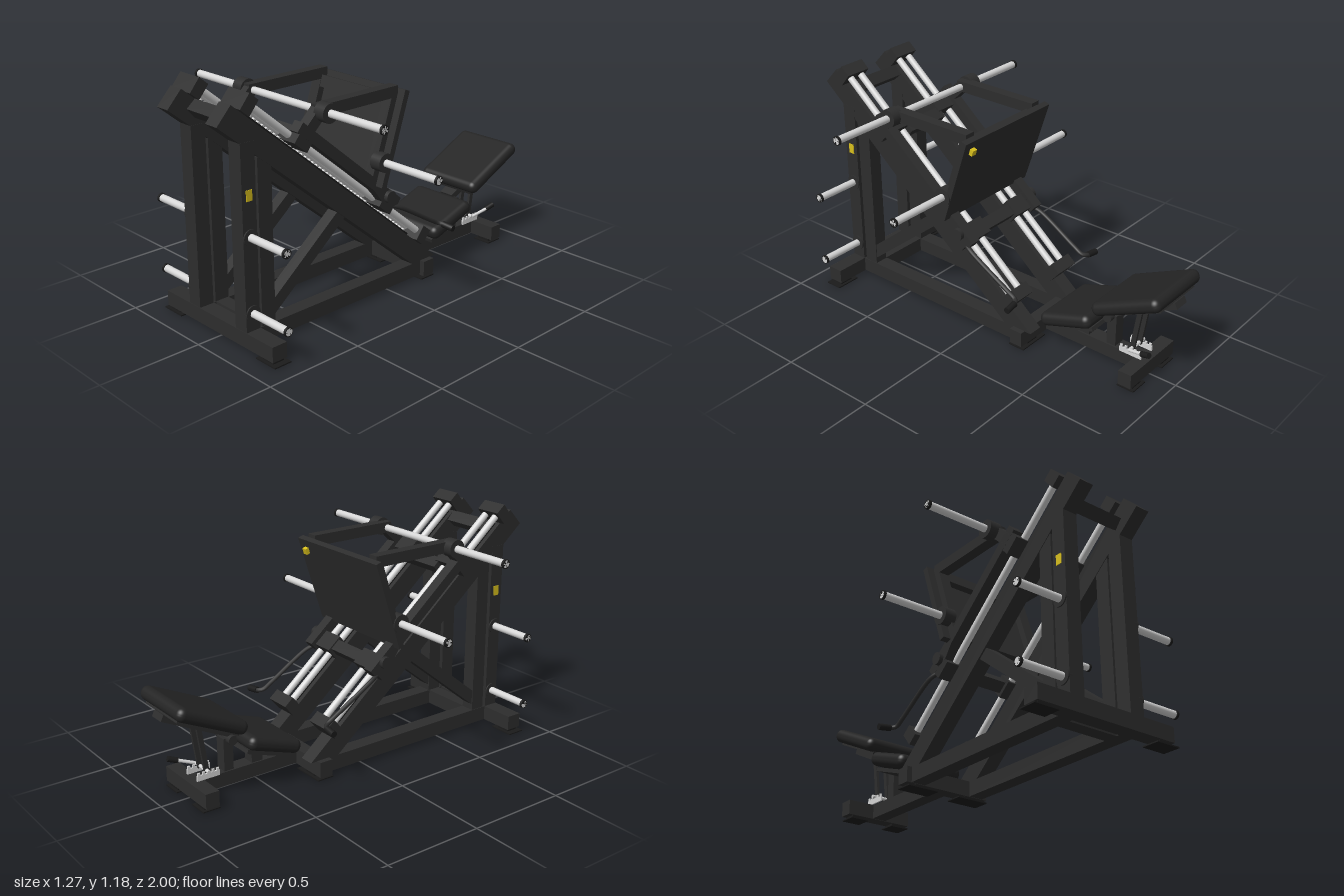
import * as THREE from 'three';
import { RoundedBoxGeometry } from 'three/addons/geometries/RoundedBoxGeometry.js';

const material = (name, color) => {
  const m = new THREE.MeshStandardMaterial({ color });
  m.name = name;
  return m;
};

export function createModel() {
  const frame = material('frame charcoal', 0x2d2d2d);
  const vinyl = material('pad black', 0x242424);
  const rubber = material('rubber black', 0x1b1b1b);
  const steel = material('polished steel', 0xd6d6d6);
  const yellow = material('label yellow', 0xd8bf1c);

  const model = new THREE.Group();
  model.name = 'legPress';

  const add = (name, geometry, mat, x = 0, y = 0, z = 0) => {
    const mesh = new THREE.Mesh(geometry, mat);
    mesh.name = name;
    mesh.position.set(x, y, z);
    model.add(mesh);
    return mesh;
  };
  const box = (name, mat, x, y, z, w, h, d) => add(name, new THREE.BoxGeometry(w, h, d), mat, x, y, z);

  // Bar between two [z, y] points, w wide in x and t thick
  const bar = (name, mat, x, a, b, w, t) => {
    const dz = b[0] - a[0], dy = b[1] - a[1];
    const mesh = box(name, mat, x, (a[1] + b[1]) / 2, (a[0] + b[0]) / 2, w, t, Math.hypot(dz, dy));
    mesh.rotation.x = Math.atan2(-dy, dz);
    return mesh;
  };
  const rod = (name, mat, a, b, r, sides = 20) => {
    const p = new THREE.Vector3(...a), q = new THREE.Vector3(...b);
    const mesh = add(name, new THREE.CylinderGeometry(r, r, p.distanceTo(q), sides), mat);
    mesh.position.copy(p).add(q).multiplyScalar(0.5);
    mesh.quaternion.setFromUnitVectors(new THREE.Vector3(0, 1, 0), q.sub(p).normalize());
    return mesh;
  };
  // [z, y] point at distance s down the inclined beam and h above its top face
  const slope = (s, h) => [0.925 - 0.767 * s - 0.642 * h, 1.133 - 0.642 * s + 0.767 * h];
  const bothSides = (build) => [-1, 1].forEach(build);

  // Base
  box('frontCrossbar', frame, 0, 0.057, 0.85, 0.77, 0.074, 0.08);
  box('secondCrossbar', frame, 0, 0.057, 0.76, 0.3, 0.074, 0.07);
  box('middleCrossbar', frame, 0, 0.057, -0.245, 0.47, 0.078, 0.07);
  box('rearCrossbar', frame, 0, 0.057, -0.835, 0.36, 0.074, 0.07);
  box('seatSpine', frame, 0, 0.057, -0.54, 0.075, 0.07, 0.6);
  box('topCrossbar', frame, 0, 1.035, 0.86, 0.28, 0.06, 0.06).rotation.x = 0.697;

  // Profile of the inclined beams, drawn with z across and y up
  const beamShape = new THREE.Shape([
    [0.925, 1.133], [1.0, 1.053], [-0.155, 0.094], [-0.315, 0.094],
  ].map(([z, y]) => new THREE.Vector2(-z, y)));
  const beamGeometry = new THREE.ExtrudeGeometry(beamShape, { depth: 0.076, bevelEnabled: false });
  beamGeometry.translate(0, 0, -0.038).rotateY(Math.PI / 2);

  bothSides((k) => {
    const x = k * 0.17;
    add('inclinedBeam', beamGeometry, frame, x);
    box('baseRail', frame, x, 0.057, 0.29, 0.076, 0.074, 1.08);
    box('frontPost', frame, x, 0.52, 0.85, 0.078, 0.88, 0.075);
    box('secondPost', frame, x, 0.45, 0.76, 0.07, 0.86, 0.075);
    bar('diagonalBrace', frame, x, [0.74, 0.15], [0.29, 0.51], 0.06, 0.06);
    box('warningLabel', yellow, k * 0.21, 0.725, 0.85, 0.004, 0.05, 0.032);

    // Feet
    [[0.34, 0.85, 0.13], [0.145, -0.245, 0.17], [0.12, -0.835, 0.1]].forEach(([fx, z, w]) => {
      box('footPlate', rubber, k * fx, 0.003, z, w, 0.006, 0.09);
      box('footPad', rubber, k * fx, 0.013, z, 0.07, 0.016, 0.06);
    });

    // Guide rods, end blocks and locking rack
    [0.135, 0.203].forEach((rx) => {
      const [z0, y0] = slope(0.05, 0.046), [z1, y1] = slope(1.43, 0.046);
      rod('guideRod', steel, [k * rx, y0, z0], [k * rx, y1, z1], 0.017);
    });
    [0.06, 1.43].forEach((s) =>
      bar('rodEndBlock', frame, x, slope(s - 0.03, 0.04), slope(s + 0.03, 0.04), 0.136, 0.08));
    bar('rackBase', rubber, x, slope(0.1, 0.006), slope(1.38, 0.006), 0.03, 0.012);
    for (let s = 0.14; s < 1.36; s += 0.028) {
      bar('rackTooth', steel, x, slope(s, 0.016), slope(s + 0.011, 0.016), 0.016, 0.012);
    }

    // Carriage
    [0.4, 1.06].forEach((s) =>
      bar('slider', frame, k * 0.182, slope(s - 0.045, 0.055), slope(s + 0.045, 0.055), 0.165, 0.075));
    bar('carriageRail', frame, k * 0.238, slope(0.34, 0.088), slope(1.12, 0.088), 0.054, 0.05);
    bar('carriageLink', frame, k * 0.238, [0.475, 1.03], [0.58, 0.93], 0.054, 0.055);
    bar('upperArm', frame, k * 0.238, [0.5, 1.028], [0.02, 1.028], 0.054, 0.054);
    bar('plateUpright', frame, k * 0.238, [0.035, 1.02], [0.175, 0.6], 0.054, 0.04);
    bar('lowerLink', frame, k * 0.238, [0.165, 0.62], [0.09, 0.52], 0.054, 0.05);

    // Weight pegs: inner x, outer x, y, z, collar radius
    [
      [0.26, 0.635, 1.025, 0.475, 0.045], [0.26, 0.635, 0.72, 0.138, 0.045],
      [0.2, 0.45, 0.535, 0.85, 0.038], [0.2, 0.45, 0.178, 0.85, 0.038],
    ].forEach(([a, b, y, z, r], i) => {
      rod('weightPeg', steel, [k * a, y, z], [k * b, y, z], 0.018);
      rod('pegCap', rubber, [k * (b - 0.012), y, z], [k * b, y, z], 0.022);
      rod('pegCollar', frame, [k * (a - 0.01), y, z], [k * (a + (i < 2 ? 0.05 : 0.015)), y, z], r, 28);
    });

    // Release handle
    const path = new THREE.CatmullRomCurve3([
      [0.25, 0.475, 0.05], [0.265, 0.455, 0], [0.265, 0.33, -0.215],
      [0.267, 0.302, -0.265], [0.285, 0.296, -0.282], [0.345, 0.289, -0.288],
    ].map(([px, y, z]) => new THREE.Vector3(k * px, y, z)), false, 'centripetal');
    add('releaseHandle', new THREE.TubeGeometry(path, 40, 0.011, 10), frame);
    rod('handleGrip', rubber, [k * 0.29, 0.295, -0.283], [k * 0.352, 0.288, -0.288], 0.016);
    rod('handlePivot', frame, [k * 0.21, 0.53, 0.075], [k * 0.285, 0.53, 0.075], 0.03);
  });

  // Carriage cross members
  rod('upperPegAxle', steel, [-0.27, 1.025, 0.475], [0.27, 1.025, 0.475], 0.017);
  bar('upperCarriageCross', frame, 0, slope(0.42, 0.06), slope(0.48, 0.06), 0.24, 0.05);
  bar('lowerCarriageCross', frame, 0, slope(1.03, 0.06), slope(1.09, 0.06), 0.24, 0.05);
  bar('plateTopCross', frame, 0, [0.037, 1.015], [0.055, 0.96], 0.44, 0.035);
  bar('plateBottomCross', frame, 0, [0.156, 0.657], [0.174, 0.602], 0.44, 0.035);

  // Foot plate with a corner label on its pressing face
  bar('footPlatform', frame, 0, [0.0, 1.035], [0.146, 0.598], 0.61, 0.03);
  bar('platformLabel', yellow, 0.25, [-0.0025, 0.992], [0.0075, 0.963], 0.028, 0.036);

  // Seat and backrest
  const pad = (name, y, z, w, t, length, angle) => {
    add(name, new RoundedBoxGeometry(w, t, length, 5, 0.032), vinyl, 0, y, z).rotation.x = angle;
  };
  pad('seatPad', 0.222, -0.485, 0.37, 0.07, 0.295, 0.33);
  pad('backPad', 0.425, -0.807, 0.37, 0.068, 0.385, 0.44);
  bar('seatPlate', frame, 0, [-0.37, 0.13], [-0.62, 0.216], 0.28, 0.02);
  bar('backPlate', frame, 0, [-0.66, 0.318], [-0.97, 0.464], 0.28, 0.02);
  bar('backBeam', frame, 0, [-0.635, 0.272], [-0.99, 0.446], 0.08, 0.032);
  box('seatFrontSupport', frame, 0, 0.125, -0.5, 0.06, 0.08, 0.06);
  box('seatRearSupport', frame, 0, 0.17, -0.655, 0.06, 0.17, 0.05);
  rod('backHinge', frame, [-0.06, 0.25, -0.645], [0.06, 0.25, -0.645], 0.024);

  // Backrest adjuster
  bothSides((k) => {
    bar('adjusterStrut', frame, k * 0.03, [-0.81, 0.36], [-0.775, 0.12], 0.014, 0.024);
    box('adjusterPlate', steel, k * 0.045, 0.107, -0.775, 0.008, 0.026, 0.12);
    for (let i = 0; i < 5; i++) {
      box('adjusterTooth', steel, k * 0.045, 0.126, -0.825 + i * 0.025, 0.008, 0.014, 0.012);
    }
  });
  rod('adjusterPin', steel, [-0.06, 0.13, -0.778], [0.06, 0.13, -0.778], 0.009);
  rod('adjusterLever', steel, [0.06, 0.13, -0.778], [0.085, 0.158, -0.86], 0.008);
  rod('leverGrip', rubber, [0.085, 0.158, -0.86], [0.095, 0.175, -0.905], 0.014);

  return model;
}
